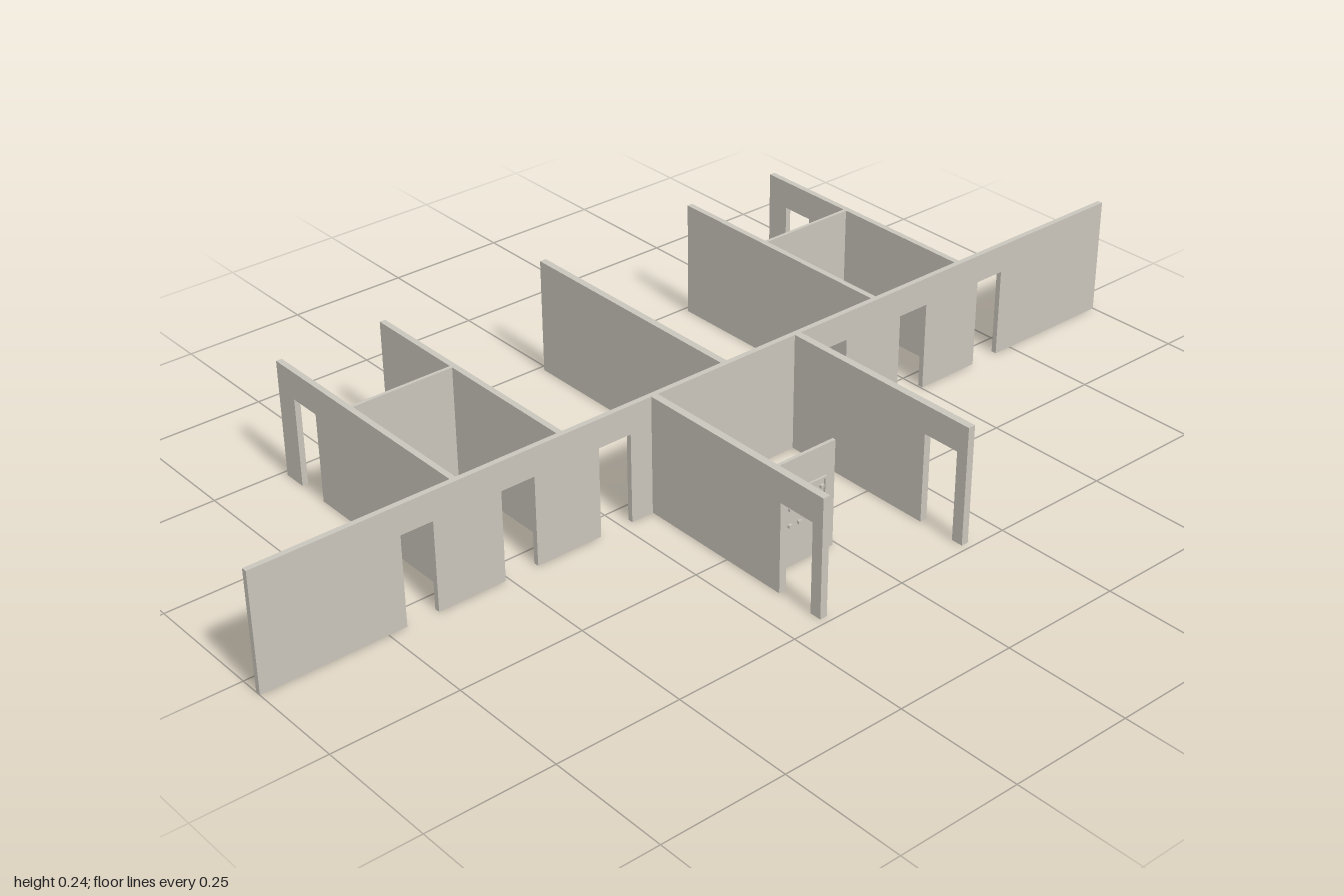
import * as THREE from 'three';

const H = 0.24, DOOR_H = 0.182;

// Outline of a wall from a to b, notched by doors that reach the floor
function wallGeometry(a, b, thickness, doors = [], height = H) {
  const s = new THREE.Shape();
  s.moveTo(a, 0);
  for (const [d0, d1] of doors) {
    s.lineTo(d0, 0);
    s.lineTo(d0, DOOR_H);
    s.lineTo(d1, DOOR_H);
    s.lineTo(d1, 0);
  }
  s.lineTo(b, 0);
  s.lineTo(b, height);
  s.lineTo(a, height);
  s.closePath();
  const g = new THREE.ExtrudeGeometry(s, { depth: thickness, bevelEnabled: false });
  return g.translate(0, 0, -thickness / 2);
}

export function createModel() {
  const model = new THREE.Group();
  const plaster = new THREE.MeshStandardMaterial({ color: 0xc9c5bc });
  plaster.name = 'plaster';

  const add = (name, geometry) => {
    const m = new THREE.Mesh(geometry, plaster);
    m.name = name;
    model.add(m);
    return m;
  };
  const wallX = (name, x0, x1, z, t, doors, h) => {
    add(name, wallGeometry(x0, x1, t, doors, h)).position.z = z;
  };
  const wallZ = (name, z0, z1, x, t, doors) => {
    const m = add(name, wallGeometry(z0, z1, t, doors));
    m.rotation.y = -Math.PI / 2;
    m.position.x = x;
  };

  // Long corridor wall with six doorways
  wallX('longWall', -1, 1, 0.0445, 0.011, [
    [-0.713, -0.648], [-0.508, -0.438], [-0.298, -0.227],
    [0.224, 0.293], [0.433, 0.503], [0.644, 0.71],
  ]);

  // Rear walls: the outermost pair has doorways
  wallZ('rearMiddleWall', -0.487, 0.04, -0.002, 0.014);
  for (const s of [-1, 1]) {
    wallZ('rearInnerWall', -0.487, 0.04, s * 0.372 - 0.002, 0.012);
    wallZ('rearOuterWall', -0.487, 0.04, s * 0.595 - 0.002, 0.012, [[-0.437, -0.368]]);
    const a = s * 0.372 - 0.002, b = s * 0.595 - 0.002;
    wallX('rearPartition', Math.min(a, b), Math.max(a, b), -0.265, 0.007);
    // Front wing wall with a doorway near its end
    wallZ('frontWingWall', 0.049, 0.487, s * 0.17 - 0.002, 0.015, [[0.385, 0.463]]);
  }

  // Low screen beside the front entrance, with small raised studs
  wallX('entranceScreen', -0.17, -0.009, 0.333, 0.007, [], 0.216);
  const studs = new THREE.Group();
  studs.name = 'screenStuds';
  const stud = new THREE.BoxGeometry(0.008, 0.006, 0.006);
  for (let row = 0; row < 4; row++) {
    for (let i = 0; i < 5; i++) {
      if ((row * 2 + i) % 3 === 0) continue;
      const m = new THREE.Mesh(stud, plaster);
      m.name = 'stud';
      m.position.set(-0.135 + i * 0.022 + (row % 2) * 0.007, 0.085 + row * 0.017, 0.338);
      studs.add(m);
    }
  }
  // Fine trim above and beside the studs
  const trim = (w, h, x, y) => {
    const m = new THREE.Mesh(new THREE.BoxGeometry(w, h, 0.005), plaster);
    m.name = 'screenTrim';
    m.position.set(x, y, 0.338);
    studs.add(m);
  };
  trim(0.118, 0.004, -0.089, 0.152);
  trim(0.004, 0.07, -0.032, 0.119);
  model.add(studs);

  return model;
}
